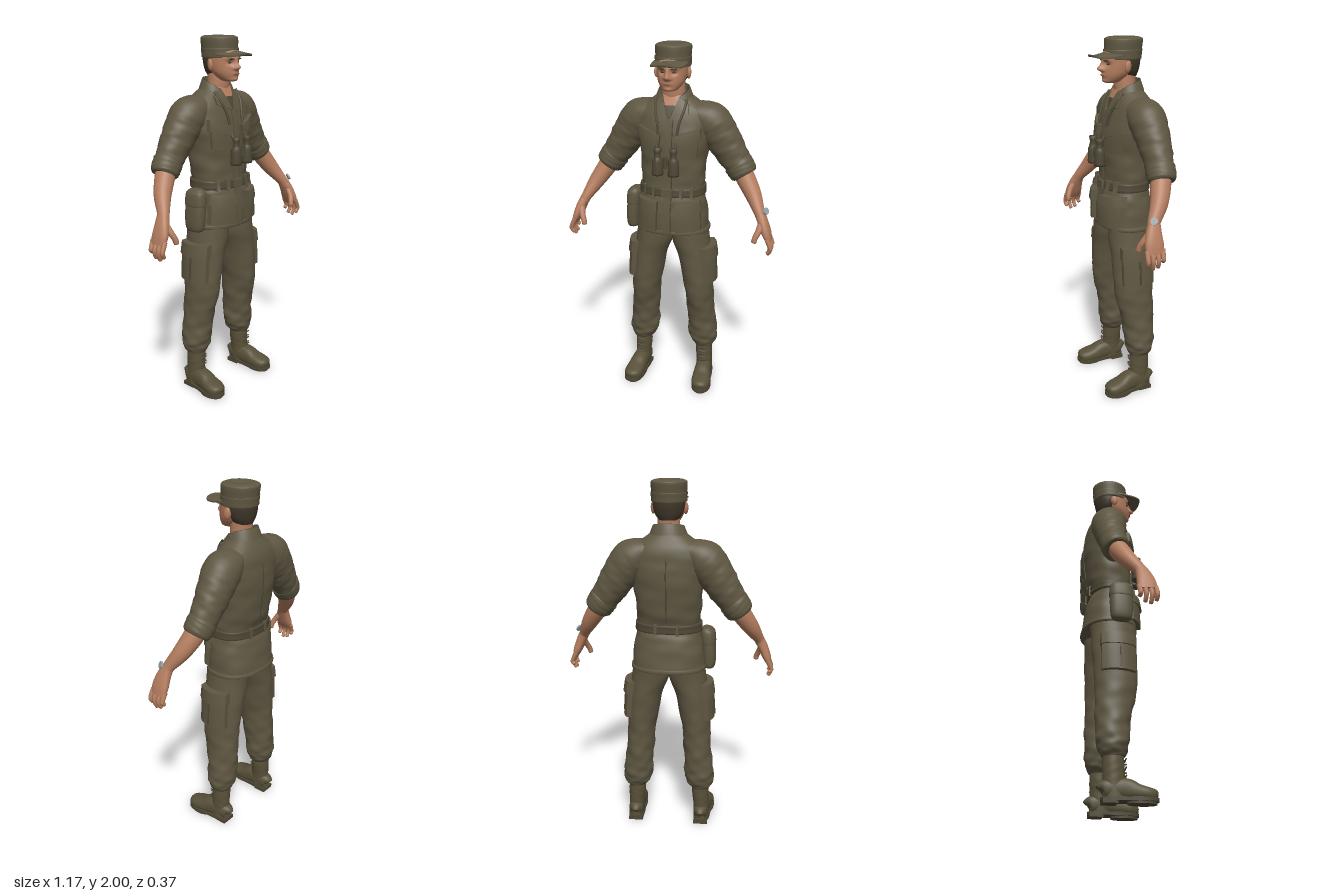
import * as THREE from 'three';

const mat = (name, color, side = THREE.FrontSide) => Object.assign(new THREE.MeshStandardMaterial({ color, side }), { name });
const V = (x, y, z) => new THREE.Vector3(x, y, z);

// Catmull-Rom sample of a ring table [x, y, z, rx, rz, wrinkle]
function sample(rings, t) {
  const n = rings.length - 1, s = Math.min(Math.max(t, 0), 1) * n, i = Math.min(Math.floor(s), n - 1), f = s - i;
  const g = k => rings[Math.min(Math.max(k, 0), n)];
  return [0, 1, 2, 3, 4, 5].map(k => {
    const [a, b, c, d] = [g(i - 1), g(i), g(i + 1), g(i + 2)].map(r => r[k] ?? 0);
    return b + 0.5 * f * (c - a + f * (2 * a - 5 * b + 4 * c - d + f * (3 * (b - c) + d - a)));
  });
}

// Skin over rounded cross-sections; flat keeps the rings horizontal
function loft(rings, { seg = 28, steps = 30, flat = false, ref = V(0, 0, 1), p = 2, warp } = {}) {
  const pos = [], idx = [], rim = [];
  const bend = c => Math.sign(c) * Math.abs(c) ** (2 / p);
  for (let i = 0; i <= steps; i++) {
    const t = i / steps, [x, y, z, rx, rz, w] = sample(rings, t);
    const a = sample(rings, t - 0.01), b = sample(rings, t + 0.01);
    const T = flat ? V(0, -1, 0) : V(b[0] - a[0], b[1] - a[1], b[2] - a[2]).normalize();
    const S = ref.clone().cross(T).normalize(), F = T.clone().cross(S);
    for (let j = 0; j < seg; j++) {
      const q = j / seg * Math.PI * 2;
      const k = 1 + w * (Math.sin(3 * q + t * 31) + 0.7 * Math.sin(5 * q - t * 47) + 0.5 * Math.sin(2 * q + t * 70));
      const v = V(x, y, z).addScaledVector(S, bend(Math.cos(q)) * rx * k).addScaledVector(F, bend(Math.sin(q)) * rz * k);
      if (warp) warp(v);
      pos.push(v.x, v.y, v.z);
      if (i < steps) {
        const A = i * seg + j, B = i * seg + (j + 1) % seg;
        idx.push(A, B, A + seg, B, B + seg, A + seg);
      }
    }
  }
  for (const [row, up] of [[0, true], [steps, false]]) {
    const base = pos.length / 3, c = sample(rings, up ? 0 : 1);
    rim.push(base);
    for (let j = 0; j < seg * 3; j++) pos.push(pos[row * seg * 3 + j]);
    pos.push(c[0], c[1], c[2]);
    for (let j = 0; j < seg; j++) {
      const A = base + j, B = base + (j + 1) % seg;
      up ? idx.push(base + seg, B, A) : idx.push(base + seg, A, B);
    }
  }
  const g = new THREE.BufferGeometry();
  g.setAttribute('position', new THREE.Float32BufferAttribute(pos, 3));
  g.setIndex(idx);
  g.computeVertexNormals();
  return g;
}

// Depth of a lofted body under a point: front (z from x, y) or side (x from z, y)
function depth(rings, u, y, side, p) {
  let lo = 0, hi = 1;
  for (let i = 0; i < 18; i++) { const m = (lo + hi) / 2; sample(rings, m)[1] > y ? lo = m : hi = m; }
  const r = sample(rings, lo), [c, ru, o, rw] = side ? [r[2], r[4], r[0], r[3]] : [r[0], r[3], r[2], r[4]];
  return o + rw * Math.max(0, 1 - Math.abs((u - c) / ru) ** p) ** (1 / p);
}

// Cloth panel between four corners (bl, br, tr, tl) draped on a body
function panel(rings, corners, thick, side = false, p = 2, n = 8) {
  const g = new THREE.BoxGeometry(1, 1, thick, n, n, 1), P = g.attributes.position;
  for (let i = 0; i < P.count; i++) {
    const u = P.getX(i) + 0.5, v = P.getY(i) + 0.5, w = P.getZ(i);
    const [a, y] = [0, 1].map(k => (1 - v) * ((1 - u) * corners[0][k] + u * corners[1][k]) + v * ((1 - u) * corners[3][k] + u * corners[2][k]));
    const d = depth(rings, a, y, side, p) + w + thick * 0.25;
    side ? P.setXYZ(i, d, y, a) : P.setXYZ(i, a, y, d);
  }
  g.computeVertexNormals();
  return g;
}

function mirrored(geo) {
  const g = geo.clone().scale(-1, 1, 1);
  const id = g.index ? [...g.index.array] : Array.from({ length: g.attributes.position.count }, (_, i) => i);
  for (let i = 0; i < id.length; i += 3) [id[i], id[i + 1]] = [id[i + 1], id[i]];
  g.setIndex(id);
  g.computeVertexNormals();
  return g;
}

export function createModel() {
  const root = new THREE.Group();
  root.name = 'fieldSoldier';
  const cloth = mat('oliveCloth', 0x5f5742, THREE.DoubleSide), seam = mat('darkOlive', 0x4e4735), boot = mat('bootOlive', 0x585039);
  const skin = mat('skin', 0xb57e60), hair = mat('hair', 0x40372b), lip = mat('lips', 0x9c6650), metal = mat('watchMetal', 0x9aa3a8);
  const add = (name, geo, m) => { const o = new THREE.Mesh(geo, m); o.name = name; root.add(o); return o; };
  const pair = (name, geo, m) => { add(name + 'Left', geo, m); add(name + 'Right', mirrored(geo), m); };

  // Head, with the features raised from the front surface
  const bumps = [[0, 1.838, 0.03, 0.013, 0.015], [0, 1.862, 0.015, 0.011, 0.022], [0.031, 1.862, -0.012, 0.017, 0.013],
    [0.03, 1.885, 0.006, 0.03, 0.009], [0, 1.807, 0.007, 0.025, 0.012], [0, 1.777, 0.006, 0.022, 0.01], [0.016, 1.833, 0.008, 0.008, 0.009]];
  add('head', loft([[0, 1.965, -0.01, 0.05, 0.06], [0, 1.92, -0.01, 0.082, 0.098], [0, 1.88, -0.008, 0.084, 0.1], [0, 1.84, 0.002, 0.079, 0.091],
    [0, 1.81, 0.016, 0.07, 0.077], [0, 1.785, 0.031, 0.054, 0.06], [0, 1.768, 0.044, 0.035, 0.042], [0, 1.762, 0.048, 0.008, 0.012]],
  { seg: 72, steps: 64, flat: true, warp: v => {
    if (v.z > 0.02) v.z += bumps.reduce((s, [x, y, a, sx, sy]) => s + a * Math.exp(-(((Math.abs(v.x) - x) / sx) ** 2) - ((v.y - y) / sy) ** 2), 0);
  } }), skin);
  add('neck', loft([[0, 1.85, -0.04, 0.06, 0.058], [0, 1.77, -0.032, 0.06, 0.058], [0, 1.71, -0.04, 0.067, 0.062], [0, 1.66, -0.05, 0.08, 0.065]], { flat: true, steps: 12 }), skin);
  add('hair', loft([[0, 1.92, -0.03, 0.086, 0.085], [0, 1.87, -0.031, 0.086, 0.084], [0, 1.825, -0.04, 0.073, 0.066], [0, 1.795, -0.045, 0.052, 0.05]], { flat: true, steps: 12 }), hair);
  pair('ear', new THREE.SphereGeometry(1, 14, 10).scale(0.012, 0.032, 0.02).rotateY(0.35).rotateX(-0.15).translate(0.087, 1.852, -0.012), skin);
  pair('eye', new THREE.SphereGeometry(1, 12, 8).scale(0.012, 0.005, 0.006).translate(0.031, 1.863, 0.077), hair);
  pair('eyebrow', new THREE.SphereGeometry(1, 12, 8).scale(0.018, 0.004, 0.006).rotateY(0.3).translate(0.032, 1.882, 0.09), hair);
  add('mouth', new THREE.SphereGeometry(1, 16, 8).scale(0.021, 0.005, 0.007).translate(0, 1.806, 0.098), lip);

  // Field cap
  add('capCrown', loft([[0, 1.99, -0.026, 0.001, 0.001], [0, 2.0, -0.026, 0.06, 0.066], [0, 1.993, -0.026, 0.09, 0.098], [0, 1.98, -0.026, 0.096, 0.104],
    [0, 1.94, -0.023, 0.094, 0.102], [0, 1.89, -0.02, 0.091, 0.1]], { seg: 48, flat: true, steps: 30 }), cloth);
  add('capBand', loft([[0, 1.936, -0.022, 0.094, 0.102], [0, 1.934, -0.022, 0.097, 0.105], [0, 1.91, -0.02, 0.096, 0.104], [0, 1.889, -0.019, 0.095, 0.103], [0, 1.887, -0.019, 0.09, 0.1]], { seg: 48, flat: true, steps: 16 }), cloth);
  const brimShape = new THREE.Shape().moveTo(-0.092, 0.01);
  brimShape.bezierCurveTo(-0.1, 0.15, -0.06, 0.163, 0, 0.163).bezierCurveTo(0.06, 0.163, 0.1, 0.15, 0.092, 0.01);
  brimShape.absellipse(0, 0.0, 0.088, 0.078, 0.1, Math.PI - 0.1, false);
  const brim = new THREE.ExtrudeGeometry(brimShape, { depth: 0.008, bevelEnabled: false, curveSegments: 24 }).rotateX(Math.PI / 2);
  const bp = brim.attributes.position;
  for (let i = 0; i < bp.count; i++) bp.setY(i, bp.getY(i) + 1.936 - 2.6 * bp.getX(i) ** 2 - 0.14 * bp.getZ(i));
  brim.computeVertexNormals();
  add('capBrim', brim, cloth);

  // Jacket body and skirt
  const body = [[0, 1.745, -0.05, 0.07, 0.058], [0, 1.705, -0.055, 0.125, 0.082, 0.002], [0, 1.65, -0.056, 0.195, 0.108, 0.004], [0, 1.58, -0.05, 0.21, 0.125, 0.006],
    [0, 1.5, -0.044, 0.2, 0.135, 0.008], [0, 1.4, -0.04, 0.184, 0.132, 0.01], [0, 1.3, -0.033, 0.178, 0.125, 0.012], [0, 1.22, -0.022, 0.172, 0.117, 0.008],
    [0, 1.16, -0.022, 0.185, 0.132, 0.008], [0, 1.08, -0.025, 0.197, 0.145, 0.008], [0, 0.98, -0.03, 0.205, 0.15, 0.008]];
  const bodyP = 2.3;
  const front = (name, c, t, m = cloth, both = true) => (both ? pair : add)(name, panel(body, c, t, false, bodyP), m);
  add('jacket', loft(body, { seg: 64, steps: 80, flat: true, p: bodyP }), cloth);
  add('jacketHem', loft([[0, 1.0, -0.029, 0.204, 0.149], [0, 0.998, -0.029, 0.209, 0.154], [0, 0.98, -0.03, 0.21, 0.155], [0, 0.976, -0.03, 0.2, 0.147]], { seg: 48, steps: 9, flat: true, p: bodyP }), cloth);
  front('openNeck', [[-0.025, 1.675], [0.025, 1.675], [0.05, 1.735], [-0.05, 1.735]], 0.008, skin, false);
  front('undershirt', [[-0.004, 1.62], [0.004, 1.62], [0.029, 1.685], [-0.029, 1.685]], 0.012, seam, false);
  front('lapel', [[0.006, 1.615], [0.1, 1.645], [0.098, 1.69], [0.045, 1.73]], 0.018);
  front('placket', [[-0.022, 0.99], [0.02, 0.99], [0.02, 1.62], [-0.012, 1.62]], 0.013, cloth, false);
  front('placketSeam', [[0.02, 0.99], [0.024, 0.99], [0.024, 1.61], [0.02, 1.61]], 0.011, seam, false);
  front('chestPocket', [[0.06, 1.395], [0.15, 1.42], [0.165, 1.55], [0.045, 1.52]], 0.02);
  front('chestFlap', [[0.045, 1.48], [0.172, 1.515], [0.168, 1.575], [0.04, 1.535]], 0.034);
  front('hipPocket', [[0.055, 1.005], [0.182, 1.01], [0.172, 1.16], [0.055, 1.155]], 0.036);
  front('hipFlap', [[0.05, 1.115], [0.184, 1.12], [0.172, 1.175], [0.052, 1.17]], 0.052);
  add('backSeam', new THREE.TubeGeometry(new THREE.CatmullRomCurve3([V(0, 1.68, -0.147), V(0, 1.58, -0.174), V(0, 1.45, -0.177), V(0, 1.26, -0.153)]), 16, 0.004, 6), seam);

  // Turned-down collar: stand, fold and fall swept around the neck
  const cp = [], ci = [], cn = 40;
  for (let i = 0; i <= cn; i++) {
    const t = i / cn * 2 - 1, a = t * 2.55, d = Math.abs(t) ** 2.2;
    for (const [r, y] of [[0.064, 1.71], [0.07, 1.782 - 0.055 * d], [0.078, 1.782 - 0.056 * d], [0.098, 1.725 - 0.045 * d]])
      cp.push(Math.sin(a) * r * 1.08, y, -0.042 - Math.cos(a) * r * 0.97);
    if (i < cn) for (let k = 0; k < 3; k++) { const q = i * 4 + k; ci.push(q, q + 1, q + 4, q + 1, q + 5, q + 4); }
  }
  const collar = new THREE.BufferGeometry();
  collar.setAttribute('position', new THREE.Float32BufferAttribute(cp, 3));
  collar.setIndex(ci);
  collar.computeVertexNormals();
  add('collar', collar, cloth);

  // Belt, buckle and loops
  add('belt', loft([[0, 1.243, -0.025, 0.172, 0.118], [0, 1.241, -0.025, 0.184, 0.129], [0, 1.22, -0.023, 0.185, 0.13], [0, 1.197, -0.022, 0.186, 0.131], [0, 1.195, -0.022, 0.172, 0.118]], { seg: 48, steps: 12, flat: true, p: bodyP }), seam);
  add('buckle', new THREE.BoxGeometry(0.06, 0.046, 0.014).translate(0, 1.219, 0.112), cloth);
  for (const x of [0.07, 0.125]) front('beltLoop', [[x, 1.19], [x + 0.014, 1.19], [x + 0.014, 1.25], [x, 1.25]], 0.035);
  pair('backBeltLoop', new THREE.BoxGeometry(0.016, 0.06, 0.014).translate(0.06, 1.22, -0.148), cloth);

  // Canteen pouch on the right hip
  add('canteenPouch', loft([[-0.205, 1.205, 0, 0.015, 0.03], [-0.212, 1.195, 0, 0.03, 0.05], [-0.22, 1.12, 0, 0.038, 0.062], [-0.226, 1.03, 0, 0.037, 0.062], [-0.226, 0.98, 0, 0.03, 0.052], [-0.226, 0.97, 0, 0.01, 0.02]], { flat: true, p: 2.5, steps: 24 }), cloth);
  add('canteenFlap', loft([[-0.212, 1.198, 0, 0.03, 0.05], [-0.216, 1.18, 0, 0.04, 0.062], [-0.22, 1.12, 0, 0.042, 0.066], [-0.22, 1.117, 0, 0.035, 0.06]], { flat: true, p: 2.5, steps: 10 }), cloth);

  // Sleeves, rolled cuffs and forearms
  pair('sleeve', loft([[0.11, 1.645, -0.06, 0.06, 0.085], [0.19, 1.595, -0.066, 0.104, 0.1, 0.006], [0.25, 1.52, -0.07, 0.1, 0.092, 0.012], [0.31, 1.43, -0.07, 0.088, 0.08, 0.018], [0.375, 1.335, -0.064, 0.073, 0.068, 0.02]], { seg: 36, steps: 40 }), cloth);
  pair('rolledCuff', loft([[0.35, 1.37, -0.066, 0.07, 0.066], [0.352, 1.368, -0.066, 0.082, 0.076, 0.01], [0.368, 1.345, -0.064, 0.081, 0.077, 0.012], [0.387, 1.317, -0.06, 0.077, 0.074, 0.012], [0.395, 1.305, -0.058, 0.066, 0.064]], { steps: 16 }), cloth);
  pair('forearm', loft([[0.37, 1.34, -0.06, 0.055, 0.055], [0.41, 1.28, -0.04, 0.052, 0.053], [0.455, 1.21, -0.008, 0.044, 0.046], [0.495, 1.14, 0.038, 0.03, 0.034], [0.51, 1.11, 0.05, 0.028, 0.034]], { steps: 20 }), skin);
  pair('palm', loft([[0.505, 1.125, 0.045, 0.027, 0.033], [0.525, 1.08, 0.056, 0.027, 0.043], [0.545, 1.03, 0.062, 0.024, 0.051], [0.562, 0.988, 0.064, 0.015, 0.046]], { steps: 12, p: 2.4 }), skin);
  const digit = (pts, r) => loft(pts.map((q, i) => [...q, r * (1 - i * 0.08), r * (1 - i * 0.08)]).concat([[...pts.at(-1).map((c, k) => c + (c - pts.at(-2)[k]) * 0.15), 0.002, 0.002]]), { seg: 10, steps: 14 });
  [[0.105, 0.93], [0.077, 0.912], [0.048, 0.918], [0.02, 0.945]].forEach(([z, tip], i) =>
    pair('finger' + (i + 1), digit([[0.553, 1.01, z], [0.573, 0.965, z + 0.004], [0.572, (0.965 + tip) / 2, z + 0.003], [0.56, tip, z]], 0.0135), skin));
  pair('thumb', digit([[0.515, 1.085, 0.075], [0.505, 1.045, 0.102], [0.492, 1.015, 0.116], [0.486, 0.99, 0.12]], 0.018), skin);
  add('wristWatch', new THREE.CylinderGeometry(0.019, 0.019, 0.01, 20).rotateX(0.5).rotateZ(-1.1).translate(0.535, 1.153, 0.06), metal);

  // Trouser legs and cargo pockets
  const leg = [[0.098, 1.02, -0.025, 0.1, 0.13], [0.106, 0.92, -0.02, 0.106, 0.126, 0.003], [0.132, 0.82, -0.02, 0.095, 0.122, 0.006], [0.148, 0.7, -0.018, 0.088, 0.117, 0.008], [0.16, 0.6, -0.018, 0.081, 0.112, 0.012],
    [0.166, 0.5, -0.03, 0.08, 0.1, 0.02], [0.175, 0.4, -0.038, 0.081, 0.09, 0.024], [0.181, 0.32, -0.04, 0.087, 0.085, 0.026], [0.186, 0.265, -0.04, 0.078, 0.075, 0.024], [0.19, 0.232, -0.038, 0.058, 0.06, 0.01]];
  pair('trouserLeg', loft(leg, { seg: 44, steps: 80, flat: true }), cloth);
  const side = (name, c, t, m = cloth) => pair(name, panel(leg, c, t, true), m);
  side('cargoPocket', [[0.075, 0.68], [-0.105, 0.68], [-0.105, 0.86], [0.075, 0.86]], 0.036);
  side('cargoFlap', [[0.08, 0.825], [-0.11, 0.825], [-0.108, 0.895], [0.078, 0.895]], 0.05);
  side('cargoPleat', [[-0.005, 0.69], [-0.015, 0.69], [-0.015, 0.825], [-0.005, 0.825]], 0.042, seam);

  // Laced boots with soles and heels
  pair('bootShaft', loft([[0.188, 0.26, -0.038, 0.047, 0.053], [0.19, 0.19, -0.038, 0.049, 0.056, 0.008], [0.194, 0.12, -0.036, 0.046, 0.056, 0.01], [0.197, 0.03, -0.03, 0.046, 0.062]], { flat: true, steps: 20 }), boot);
  pair('bootFoot', loft([[0.194, 0.06, -0.1, 0.015, 0.03], [0.194, 0.066, -0.088, 0.038, 0.045], [0.196, 0.07, -0.03, 0.046, 0.055], [0.2, 0.068, 0.03, 0.048, 0.056], [0.205, 0.055, 0.08, 0.053, 0.044],
    [0.21, 0.047, 0.13, 0.054, 0.037], [0.213, 0.043, 0.165, 0.04, 0.03], [0.214, 0.04, 0.178, 0.012, 0.014]], { ref: V(0, 1, 0), p: 2.4, steps: 32 }), boot);
  const sole = new THREE.Shape().moveTo(0.194, -0.104);
  sole.bezierCurveTo(0.25, -0.104, 0.245, -0.02, 0.25, 0.03).bezierCurveTo(0.275, 0.1, 0.275, 0.183, 0.213, 0.184)
    .bezierCurveTo(0.15, 0.183, 0.145, 0.1, 0.152, 0.03).bezierCurveTo(0.15, -0.02, 0.14, -0.104, 0.194, -0.104);
  pair('bootSole', new THREE.ExtrudeGeometry(sole, { depth: 0.018, bevelEnabled: false, curveSegments: 12 }).rotateX(Math.PI / 2).translate(0, 0.03, 0), seam);
  pair('bootToeTread', new THREE.CylinderGeometry(0.05, 0.05, 0.013, 24).scale(1, 1, 1.5).translate(0.21, 0.0065, 0.1), seam);
  pair('bootHeel', new THREE.BoxGeometry(0.082, 0.022, 0.075).translate(0.195, 0.011, -0.06), seam);
  for (let i = 0; i < 6; i++)
    pair('lace' + (i + 1), new THREE.CapsuleGeometry(0.004, 0.042, 3, 8).rotateZ(Math.PI / 2 + (i % 2 ? 0.2 : -0.2)).translate(0.193 + (i < 2 ? 0.006 : 0), 0.112 + i * 0.021, i === 0 ? 0.045 : 0.022), seam);

  // Binoculars on a neck strap
  const barrel = [[0, 0], [0.03, 0], [0.032, 0.012], [0.029, 0.03], [0.03, 0.075], [0.022, 0.095], [0.017, 0.1], [0.017, 0.125], [0.021, 0.128], [0.021, 0.148], [0, 0.148]].map(a => new THREE.Vector2(...a));
  pair('binocularBarrel', new THREE.LatheGeometry(barrel, 20).translate(0.044, 1.33, 0.135), seam);
  add('binocularBridge', new THREE.BoxGeometry(0.06, 0.035, 0.02).translate(0, 1.4, 0.13), seam);
  add('focusWheel', new THREE.CylinderGeometry(0.011, 0.011, 0.06, 14).translate(0, 1.4, 0.14), seam);
  const strap = [[0.055, 1.44], [0.05, 1.52], [0.06, 1.6], [0.08, 1.67], [0.085, 1.715]].map(([x, y], i) => V(x, y, i ? depth(body, x, y, false, bodyP) + 0.016 : 0.135));
  pair('neckStrap', new THREE.TubeGeometry(new THREE.CatmullRomCurve3(strap), 24, 0.007, 8), seam);
  return root;
}
